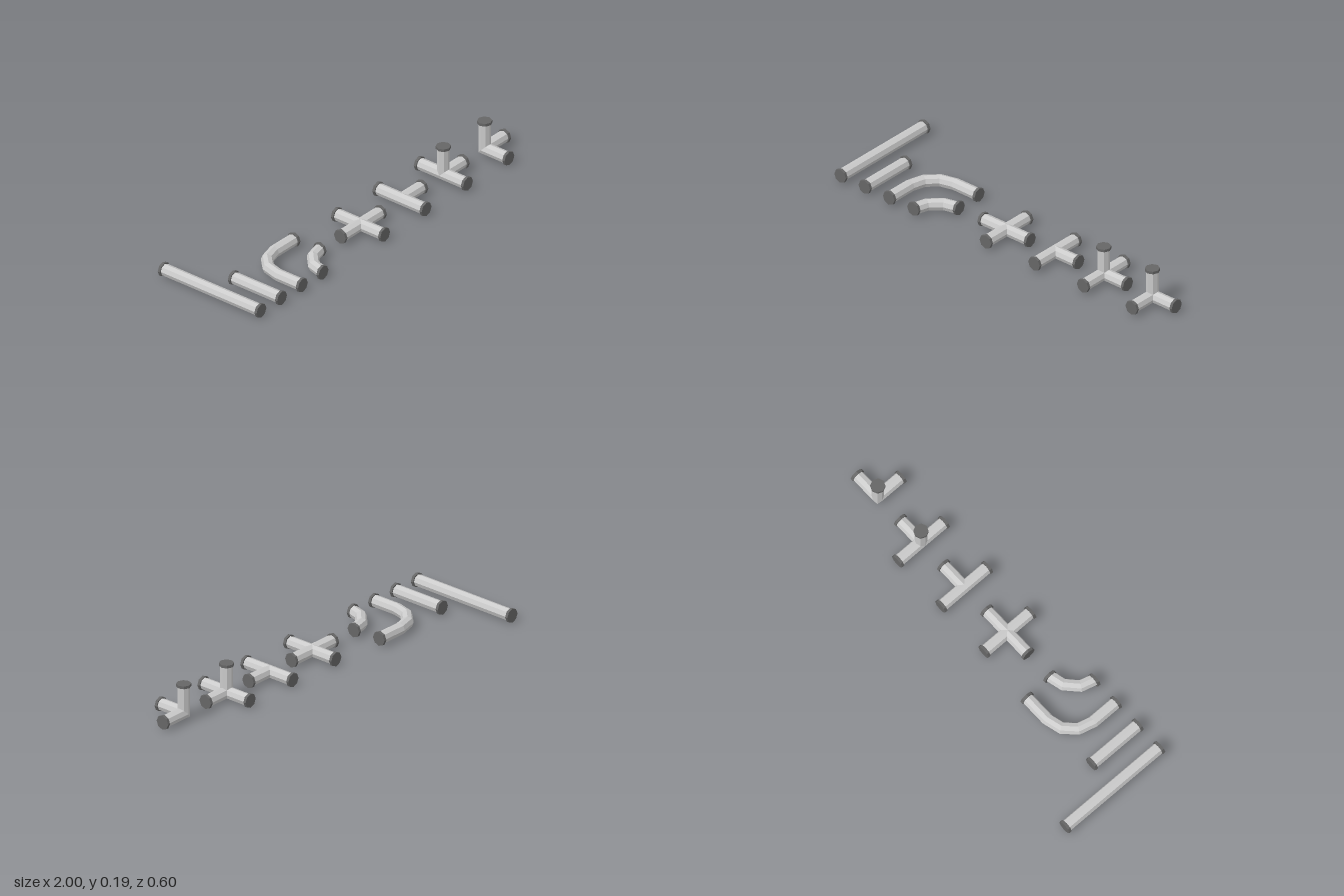
import * as THREE from 'three';

const R = 0.03, FR = 0.036, FT = 0.014; // pipe radius, flange radius, flange thickness
const Y = 0.036, L = 0.151;             // axis height, module length
const SIDES = 8;

const pipeMat = new THREE.MeshStandardMaterial({ color: 0xcccccc, flatShading: true, side: THREE.DoubleSide });
const flangeMat = new THREE.MeshStandardMaterial({ color: 0x666666, flatShading: true });

const DIRS = {
  px: [1, 0, 0], nx: [-1, 0, 0], py: [0, 1, 0], pz: [0, 0, 1], nz: [0, 0, -1],
};

// Turns a y-aligned geometry to point along a direction
function aim(geo, d) {
  if (d[0]) geo.rotateZ(-Math.PI / 2 * d[0]);
  if (d[2]) geo.rotateX(Math.PI / 2 * d[2]);
  return geo;
}

function add(group, name, geo, mat) {
  const m = new THREE.Mesh(geo, mat);
  m.name = name;
  group.add(m);
}

// End flange whose outer face lies at distance len from (x, y, z)
function flange(group, dir, len, x = 0, y = 0, z = 0) {
  const g = new THREE.CylinderGeometry(FR, FR, FT, SIDES).translate(0, len - FT / 2, 0);
  add(group, 'flange', aim(g, DIRS[dir]).translate(x, y, z), flangeMat);
}

// Pipe arm from the group's origin; mitred arms meet the other two at a corner
function arm(group, dir, len, mitre = false) {
  const d = DIRS[dir];
  const g = aim(new THREE.CylinderGeometry(R, R, len, SIDES, 1, true).translate(0, len / 2, 0), d);
  if (mitre) {
    const axis = d.indexOf(1), p = g.attributes.position;
    for (let i = 0; i < p.count; i++) {
      const v = [p.getX(i), p.getY(i), p.getZ(i)];
      if (v[axis] > len / 2) continue;
      v[axis] = Math.max(v[(axis + 1) % 3], v[(axis + 2) % 3]);
      p.setXYZ(i, ...v);
    }
  }
  add(group, 'pipe', g, pipeMat);
  flange(group, dir, len);
}

// Octagonal sweep through rings [x, z, turn angle] lying in the ground plane
function sweep(rings) {
  const pos = [], idx = [];
  for (const [x, z, a] of rings) {
    for (let j = 0; j < SIDES; j++) {
      const t = j / SIDES * Math.PI * 2, o = R * Math.cos(t);
      pos.push(x - Math.cos(a) * o, R * Math.sin(t), z - Math.sin(a) * o);
    }
  }
  for (let i = 0; i < rings.length - 1; i++) {
    for (let j = 0; j < SIDES; j++) {
      const k = (j + 1) % SIDES;
      const a = i * SIDES + j, b = i * SIDES + k, c = b + SIDES, d = a + SIDES;
      idx.push(a, b, c, a, c, d);
    }
  }
  const g = new THREE.BufferGeometry();
  g.setAttribute('position', new THREE.Float32BufferAttribute(pos, 3));
  g.setIndex(idx);
  g.computeVertexNormals();
  return g;
}

// Quarter bend from heading -z to heading +x, with optional straight tails
function bend(name, x, z, rx, rz, tail) {
  const group = new THREE.Group();
  group.name = name;
  const cx = x + rx, cz = z - tail, rings = [];
  if (tail) rings.push([x, z, 0]);
  for (let i = 0; i <= 3; i++) {
    const a = i / 3 * Math.PI / 2;
    rings.push([cx - rx * Math.cos(a), cz - rz * Math.sin(a), a]);
  }
  const endX = cx + tail, endZ = cz - rz;
  if (tail) rings.push([endX, endZ, Math.PI / 2]);
  add(group, 'pipe', sweep(rings), pipeMat);
  flange(group, 'pz', 0, x, 0, z);
  flange(group, 'px', 0, endX, 0, endZ);
  group.position.y = Y;
  return group;
}

// Straight pieces and junctions: name, x, z, arm length, arm directions
const FITTINGS = [
  ['longPipe', -0.965, 0, 0.302, ['pz', 'nz']],
  ['shortPipe', -0.814, L, L, ['pz', 'nz']],
  ['crossJunction', -0.06, L, L, ['pz', 'nz', 'px', 'nx']],
  ['teeJunction', 0.243, L, L, ['pz', 'nz', 'px']],
  ['fourWayJunction', 0.546, L, L, ['pz', 'nz', 'px', 'py']],
  ['cornerJunction', 0.849, L, L, ['pz', 'px', 'py']],
];

export function createModel() {
  const model = new THREE.Group();
  model.name = 'pipeSet';
  for (const [name, x, z, len, dirs] of FITTINGS) {
    const group = new THREE.Group();
    group.name = name;
    for (const d of dirs) arm(group, d, len, name === 'cornerJunction');
    group.position.set(x, Y, z);
    model.add(group);
  }
  model.add(bend('wideBend', -0.662, 0.302, L, L, L));
  model.add(bend('tightBend', -0.511, 0.302, 0.16, L, 0));
  return model;
}
